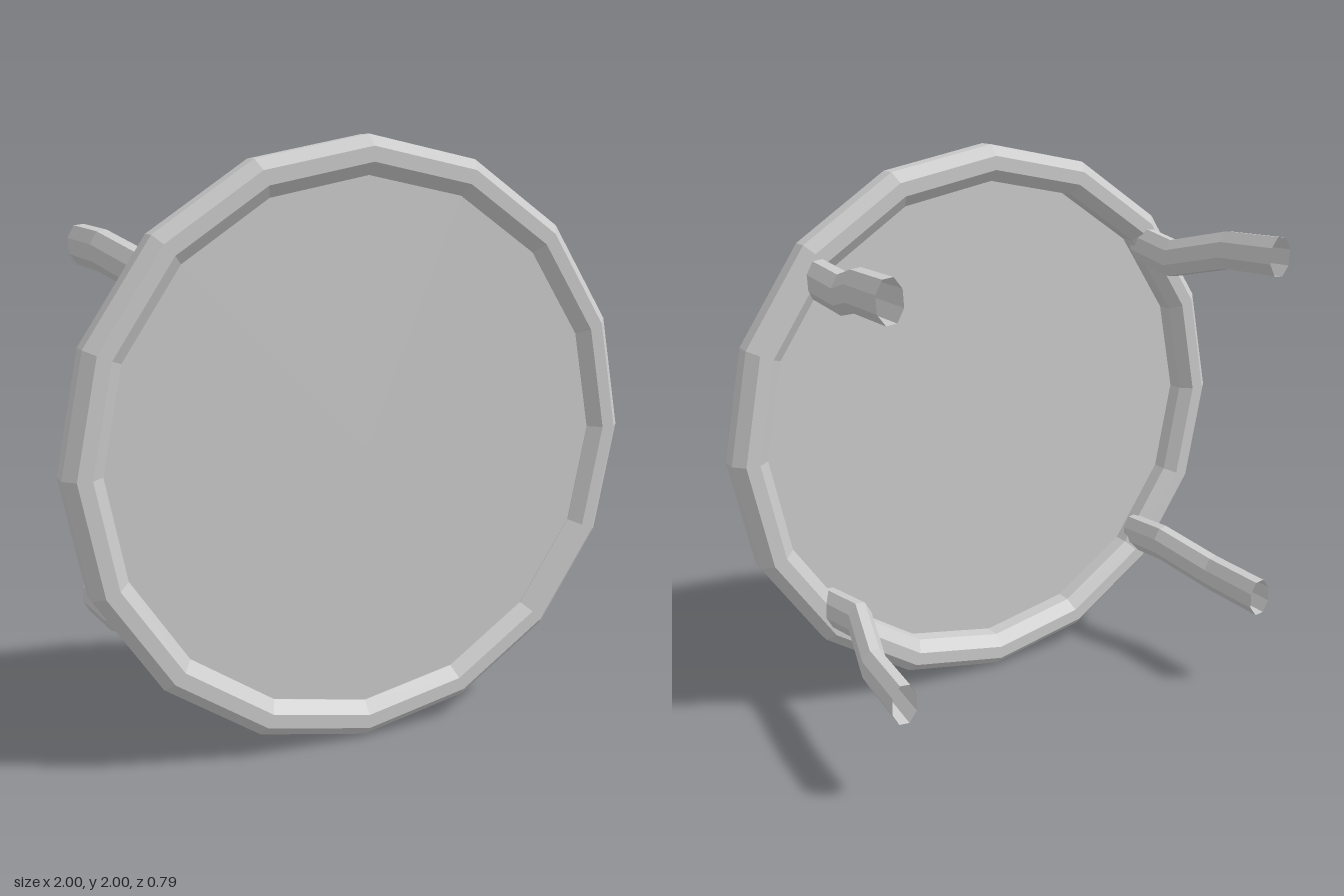
import * as THREE from 'three';

const material = new THREE.MeshStandardMaterial({ color: 0xcccccc, flatShading: true, side: THREE.DoubleSide });
const SIDES = 16;
const MID_Z = 0.33;

// Bevelled rim: an eight-sided section swept around the z axis
function makeRim() {
  const section = [
    [0.915, -0.067], [0.963, -0.067], [1, -0.03], [1, 0.03],
    [0.963, 0.067], [0.915, 0.067], [0.875, 0.03], [0.875, -0.03], [0.915, -0.067],
  ].map(([r, h]) => new THREE.Vector2(r, h));
  const geometry = new THREE.LatheGeometry(section, SIDES);
  geometry.rotateX(Math.PI / 2);
  const rim = new THREE.Mesh(geometry, material);
  rim.name = 'rim';
  rim.position.set(0, 1, MID_Z);
  return rim;
}

// Thin panel set just behind the rim's front bevel
function makePanel() {
  const panel = new THREE.Mesh(new THREE.CircleGeometry(0.88, SIDES), material);
  panel.name = 'panel';
  panel.position.set(0, 1, MID_Z + 0.028);
  return panel;
}

// Bent hollow leg: an open tube with oval sections moved onto a path
const LEG_PATH = [
  [0.677, 0.603, 0.33],
  [0.658, 0.575, 0.10],
  [0.718, 0.631, -0.14],
  [0.732, 0.640, -0.39],
];

function makeLeg(sideX, sideY) {
  const rows = LEG_PATH.length - 1;
  const baseY = sideY > 0 ? 1 : 1.012;
  const turn = sideX * sideY * Math.PI / 10; // mirrors the turned section
  const geometry = new THREE.CylinderGeometry(1, 1, 1, 8, rows, true, turn);
  const pos = geometry.attributes.position;
  for (let i = 0; i < pos.count; i++) {
    const [cx, cy, cz] = LEG_PATH[Math.round((0.5 - pos.getY(i)) * rows)];
    pos.setXYZ(i, sideX * cx + 0.046 * pos.getX(i), baseY + sideY * cy - 0.072 * pos.getZ(i), cz);
  }
  geometry.computeVertexNormals();
  const leg = new THREE.Mesh(geometry, material);
  leg.name = (sideY > 0 ? 'upper' : 'lower') + (sideX > 0 ? 'Left' : 'Right') + 'Leg';
  return leg;
}

export function createModel() {
  const model = new THREE.Group();
  model.name = 'roundPanelOnLegs';
  model.add(makeRim(), makePanel());
  for (const sideX of [-1, 1]) {
    for (const sideY of [-1, 1]) model.add(makeLeg(sideX, sideY));
  }
  return model;
}
